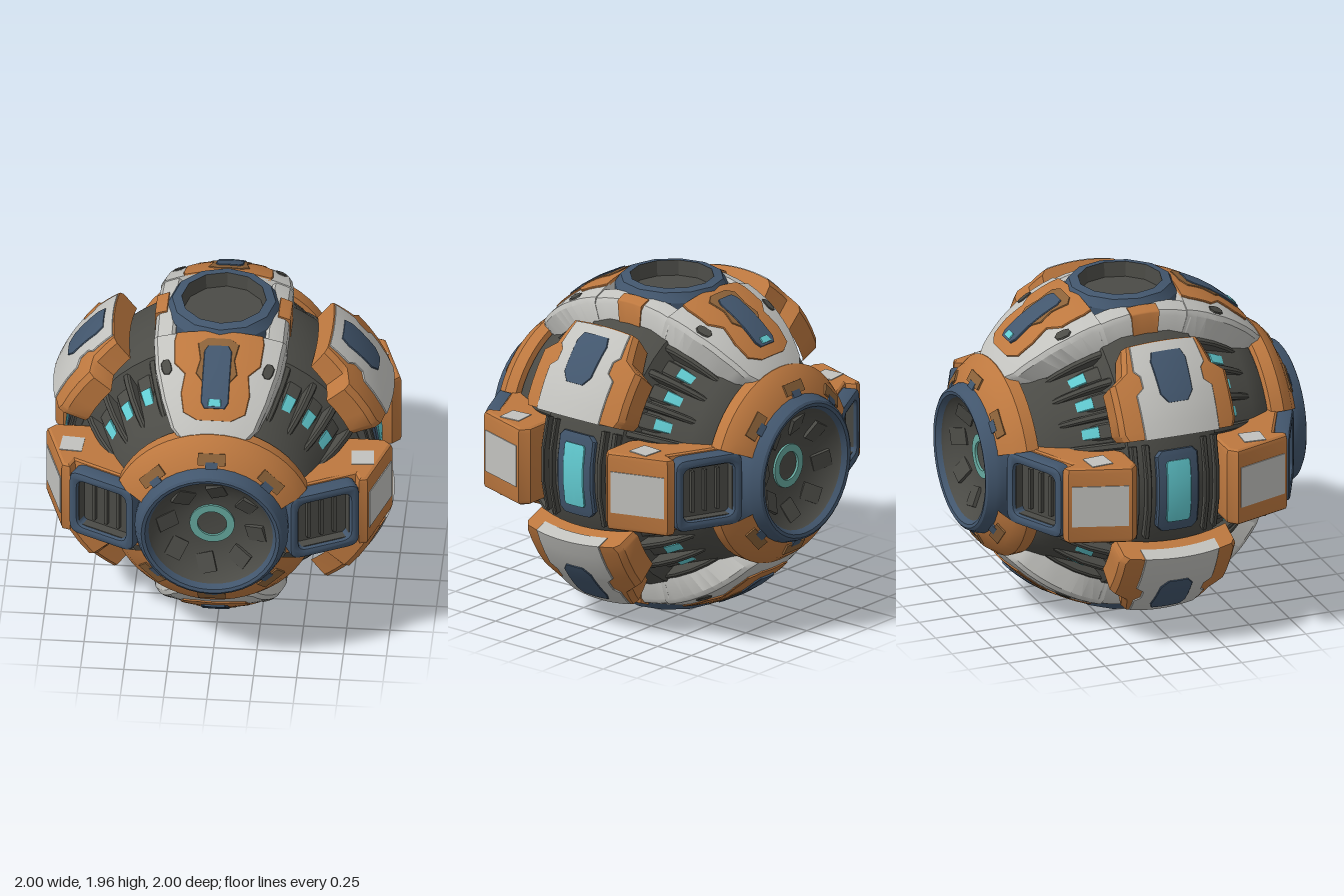
import * as THREE from 'three';
import { toCreasedNormals } from 'three/addons/utils/BufferGeometryUtils.js';

const material = (name, color) => new THREE.MeshStandardMaterial({ name, color });
const M = {
  orange: material('orange', 0xbd783f), brown: material('brown', 0x8c6239),
  white: material('off white', 0xc2c2be), blue: material('slate blue', 0x42566d),
  dark: material('charcoal', 0x4b4b46), cyan: material('cyan', 0x62ccd2),
  teal: material('teal', 0x66a99f),
};
const rad = THREE.MathUtils.degToRad;

function mesh(name, geo, mat, crease = 0.5) {
  const m = new THREE.Mesh(toCreasedNormals(geo, crease), mat);
  m.name = name;
  return m;
}

// Curved plate: rows of [angle from +z towards +y, left x, right x], laid on a sphere of radius r.
function patch(name, mat, rows, r, rIn, bevel = 0.004) {
  const fine = [];
  rows.forEach((row, i) => {
    if (i) for (let k = 1; k <= 3; k++) fine.push(row.map((v, c) => THREE.MathUtils.lerp(rows[i - 1][c], v, k / 3)));
    else fine.push(row);
  });
  const last = fine[fine.length - 1];
  const grid = [[...fine[0], true], ...fine.map(f => [...f, false]), [...last, true]];
  const pos = [], idx = [], n = 8, cols = n + 5;
  for (const [a, x0, x1, low] of grid) {
    const section = [[x0, rIn], [x0, r - bevel]];
    for (let k = 0; k <= n; k++) section.push([THREE.MathUtils.lerp(x0 + bevel, x1 - bevel, k / n), r]);
    section.push([x1, r - bevel], [x1, rIn]);
    for (const [x, R] of section) {
      const q = low ? rIn : R, p = Math.sqrt(q * q - x * x);
      pos.push(x, p * Math.sin(rad(a)), p * Math.cos(rad(a)));
    }
  }
  for (let i = 0; i < grid.length - 1; i++) for (let j = 0; j < cols - 1; j++) {
    const a = i * cols + j, b = a + cols;
    idx.push(a, a + 1, b + 1, a, b + 1, b);
  }
  const g = new THREE.BufferGeometry();
  g.setAttribute('position', new THREE.Float32BufferAttribute(pos, 3));
  g.setIndex(idx);
  return mesh(name, g, mat, 0.6);
}
const sym = rows => rows.map(([a, w]) => [a, -w, w]);
const lathe = (name, pts, mat, seg = 40, start = 0, length = 360) =>
  mesh(name, new THREE.LatheGeometry(pts.map(p => new THREE.Vector2(...p)), seg, rad(start), rad(length)), mat);

function box(name, mat, size, at, rot = [0, 0, 0]) {
  const m = mesh(name, new THREE.BoxGeometry(...size), mat);
  m.position.set(...at);
  m.rotation.set(...rot);
  return m;
}
function group(name, ...parts) {
  const g = new THREE.Group();
  g.name = name;
  if (parts.length) g.add(...parts);
  return g;
}

function roundRect(w, h, r, Type = THREE.Shape) {
  const s = new Type(), x = w / 2, y = h / 2;
  s.moveTo(-x + r, -y).lineTo(x - r, -y).quadraticCurveTo(x, -y, x, -y + r);
  s.lineTo(x, y - r).quadraticCurveTo(x, y, x - r, y).lineTo(-x + r, y);
  s.quadraticCurveTo(-x, y, -x, y - r).lineTo(-x, -y + r).quadraticCurveTo(-x, -y, -x + r, -y);
  return s;
}

// Large round port on the front and back; the collar is open where the intakes sit
function mainPort() {
  const g = group('mainPort');
  const collar = [[0.5, 0.7], [0.585, 0.725], [0.59, 0.8], [0.545, 0.868], [0.44, 0.925]];
  const turned = group('portRings',
    lathe('portCollar', collar, M.orange, 20, 113, 134),
    lathe('portCollar', collar, M.orange, 20, 293, 134),
    lathe('portRim', [[0.435, 0.7], [0.445, 0.91], [0.435, 0.945], [0.415, 0.99], [0.4, 1], [0.38, 0.995], [0.36, 0.965]], M.blue),
    lathe('portBowl', [[0.36, 0.965], [0.35, 0.95], [0.3, 0.91], [0.22, 0.87], [0.14, 0.855], [0, 0.85]], M.dark),
    lathe('portLight', [[0.13, 0.85], [0.13, 0.868], [0.085, 0.868], [0.085, 0.85]], M.teal));
  turned.rotation.x = Math.PI / 2;
  g.add(turned);
  for (let i = 0; i < 8; i++) {
    const spoke = group('portSpoke', box('bowlFin', M.dark, [0.1, 0.12, 0.03], [0.03, 0.26, 0.893], [0.46, 0.1, 0.25]));
    if (i % 4 !== 2) spoke.add(
      box('collarWear', M.brown, [0.16, 0.07, 0.012], [0, 0.485, 0.902], [-0.5, 0, 0]),
      box('rimTooth', M.blue, [0.07, 0.04, 0.014], [0, 0.454, 0.92], [-0.5, 0, 0]));
    spoke.rotation.z = i * Math.PI / 4;
    g.add(spoke);
  }
  return g;
}

// Smaller port on the top and bottom
const polePort = () => group('polePort',
  lathe('poleRim', [[0.335, 0.84], [0.335, 0.915], [0.3, 0.97], [0.245, 0.98]], M.blue, 12),
  lathe('poleWell', [[0.245, 0.98], [0.235, 0.89], [0, 0.89]], M.dark, 12));

// White armour with an orange pad and blue slot
function armour(lit) {
  const g = group('armourPanel',
    patch('armourShell', M.white, sym([[34, 0.19], [38, 0.25], [48, 0.31], [60, 0.36], [73, 0.385]]), 0.99, 0.8, 0.02),
    patch('armourPad', M.orange, sym([[41, 0.1], [43.5, 0.18], [50, 0.2], [57, 0.185], [61, 0.25], [70, 0.26], [73, 0.25]]), 0.998, 0.98),
    patch('slotWear', M.brown, sym([[54, 0.08], [57, 0.12], [62, 0.1], [68, 0.12], [70, 0.07]]), 1.003, 0.99),
    patch('slot', M.blue, sym([[45, 0.06], [47, 0.08], [65, 0.08], [67, 0.06]]), 1.009, 0.99));
  if (lit) g.add(patch('slotLight', M.cyan, sym([[45.7, 0.04], [48, 0.035]]), 1.014, 1));
  for (const s of [-1, 1]) g.add(
    patch('armourVent', M.dark, [[57, s * 0.29 - 0.015, s * 0.29 + 0.015], [58.5, s * 0.29 - 0.03, s * 0.29 + 0.03],
      [61, s * 0.3 - 0.03, s * 0.3 + 0.03], [62.5, s * 0.3 - 0.015, s * 0.3 + 0.015]], 0.996, 0.98));
  return g;
}

// Strips joining the armour beside the pole ports
function poleBridge() {
  const g = group('poleBridge');
  for (const s of [-1, 1]) {
    const span = (a, b) => s > 0 ? [a, b] : [-b, -a];
    g.add(patch('bridgeShell', M.white, [[71, ...span(0.26, 0.382)], [90, ...span(0.26, 0.385)], [109, ...span(0.26, 0.382)]], 0.983, 0.8, 0.02));
    g.add(patch('bridgeClip', M.orange, [[84.5, ...span(0.32, 0.392)], [95.5, ...span(0.32, 0.392)]], 0.993, 0.85));
  }
  return g;
}

// Curved plate on the diagonal of each side
function sidePlate() {
  const g = group('sidePlate',
    patch('plateShell', M.orange, sym([[21.5, 0.34], [24, 0.36], [41, 0.36], [44, 0.28], [53, 0.24]]), 1.05, 0.9, 0.025),
    patch('plateInlay', M.white, sym([[21.2, 0.23], [36, 0.235], [38, 0.19], [42, 0.19], [44, 0.22], [52.5, 0.2]]), 1.056, 0.97),
    patch('plateBadge', M.blue, sym([[32, 0.06], [35, 0.1], [46, 0.11], [49, 0.09]]), 1.062, 1.03));
  g.rotation.y = Math.PI / 2;
  return g;
}

// Equator block with a framed square intake
function sideBlock() {
  const outline = [[0.42, 0.82], [0.81, 0.634], [0.835, 0.695], [0.885, 0.68], [1, 0.33], [0.95, 0.28], [0.75, 0.28], [0.45, 0.5]];
  const body = new THREE.ExtrudeGeometry(new THREE.Shape(outline.map(p => new THREE.Vector2(...p))),
    { depth: 0.41, bevelSize: 0.02, bevelOffset: -0.02, bevelThickness: 0.03, bevelSegments: 2 });
  body.translate(0, 0, -0.205).rotateX(Math.PI / 2);
  const frameShape = roundRect(0.43, 0.44, 0.07);
  frameShape.holes.push(roundRect(0.32, 0.32, 0.05, THREE.Path));
  const frame = new THREE.ExtrudeGeometry(frameShape,
    { depth: 0.08, bevelSize: 0.02, bevelOffset: -0.02, bevelThickness: 0.02, bevelSegments: 2, curveSegments: 4 });
  frame.translate(0, 0, -0.1);
  const intake = group('intake', mesh('intakeFrame', frame, M.blue),
    box('intakeFloor', M.dark, [0.36, 0.36, 0.03], [0, 0, -0.095]));
  for (const s of [-1, 1]) {
    intake.add(box('intakeWall', M.dark, [0.012, 0.33, 0.08], [s * 0.161, 0, -0.065]));
    intake.add(box('intakeLip', M.dark, [0.33, 0.012, 0.08], [0, s * 0.161, -0.065]));
  }
  for (const x of [-0.08, 0, 0.08]) intake.add(box('intakeBar', M.dark, [0.02, 0.25, 0.03], [x, 0, -0.07]));
  intake.position.set(0.65, 0, 0.805);
  intake.rotation.y = 0.445;
  const g = group('sideBlock', mesh('blockBody', body, M.orange), intake,
    box('blockInlay', M.white, [0.33, 0.25, 0.012], [0.942, 0, 0.505], [0, 1.253, 0]));
  for (const s of [-1, 1]) g.add(box('blockSpot', M.white, [0.13, 0.008, 0.13], [0.84, s * 0.236, 0.48], [0, 0.08, 0]));
  return g;
}

// Side window with a blue frame and dark struts
function sideWindow() {
  const g = group('sideWindow',
    patch('windowFrame', M.blue, sym([[-16, 0.1], [-14, 0.13], [14, 0.13], [16, 0.1]]), 0.91, 0.85, 0.01),
    patch('windowLight', M.cyan, sym([[-12, 0.065], [-11, 0.075], [11, 0.075], [12, 0.065]]), 0.916, 0.9));
  for (const x of [-0.25, -0.18, 0.18, 0.25])
    g.add(patch('windowStrut', M.dark, [[-19, x - 0.015, x + 0.015], [19, x - 0.015, x + 0.015]], 0.92, 0.8, 0.006));
  return g;
}

// Lit slots between dark ribs
function ventFan(side) {
  const g = group('ventFan');
  const put = (m, deg) => { m.rotation.z = -rad(deg) * side; g.add(m); };
  for (const d of [36, 49, 63]) {
    put(patch('ventSeat', M.dark, sym([[44, 0.045], [70, 0.05]]), 0.815, 0.7, 0.01), d);
    put(patch('ventLight', M.cyan, sym([[51, 0.03], [61.5, 0.035]]), 0.823, 0.79), d);
  }
  for (const d of [29, 42.5, 56, 70])
    put(patch('ventRib', M.dark, sym([[40, 0.015], [52, 0.02], [74, 0.024]]), 0.86, 0.7, 0.01), d);
  return g;
}

export function createModel() {
  const model = group('sphericalDevice');
  model.position.y = 0.98;

  // Dark inner body with a raised waist
  const half = [[0.5, 0.75], [0.57, 0.7], [0.62, 0.6], [0.67, 0.48], [0.73, 0.32], [0.83, 0.27], [0.87, 0.15], [0.88, 0]];
  const core = lathe('core', [...half.map(([r, z]) => [r, -z]), ...half.slice(0, -1).reverse()], M.dark, 48);
  core.rotation.x = Math.PI / 2;
  model.add(core);

  // Four half-turn copies cover every quarter
  const turns = [[0, 0, 0], [Math.PI, 0, 0], [0, Math.PI, 0], [0, 0, Math.PI]];
  turns.forEach((t, i) => {
    const quarter = group('quarter', armour(i === 0 || i === 2), sidePlate(), sideBlock(), ventFan(1), ventFan(-1));
    quarter.rotation.set(...t);
    model.add(quarter);
  });

  // Parts that come in opposite pairs
  for (const a of [0, Math.PI]) {
    const port = mainPort(), pole = group('pole', polePort(), poleBridge()), side = sideWindow();
    port.rotation.y = a;
    pole.rotation.z = a;
    side.rotation.y = a + Math.PI / 2;
    model.add(port, pole, side);
  }
  const root = new THREE.Group();
  root.name = 'model';
  root.add(model);
  return root;
}
